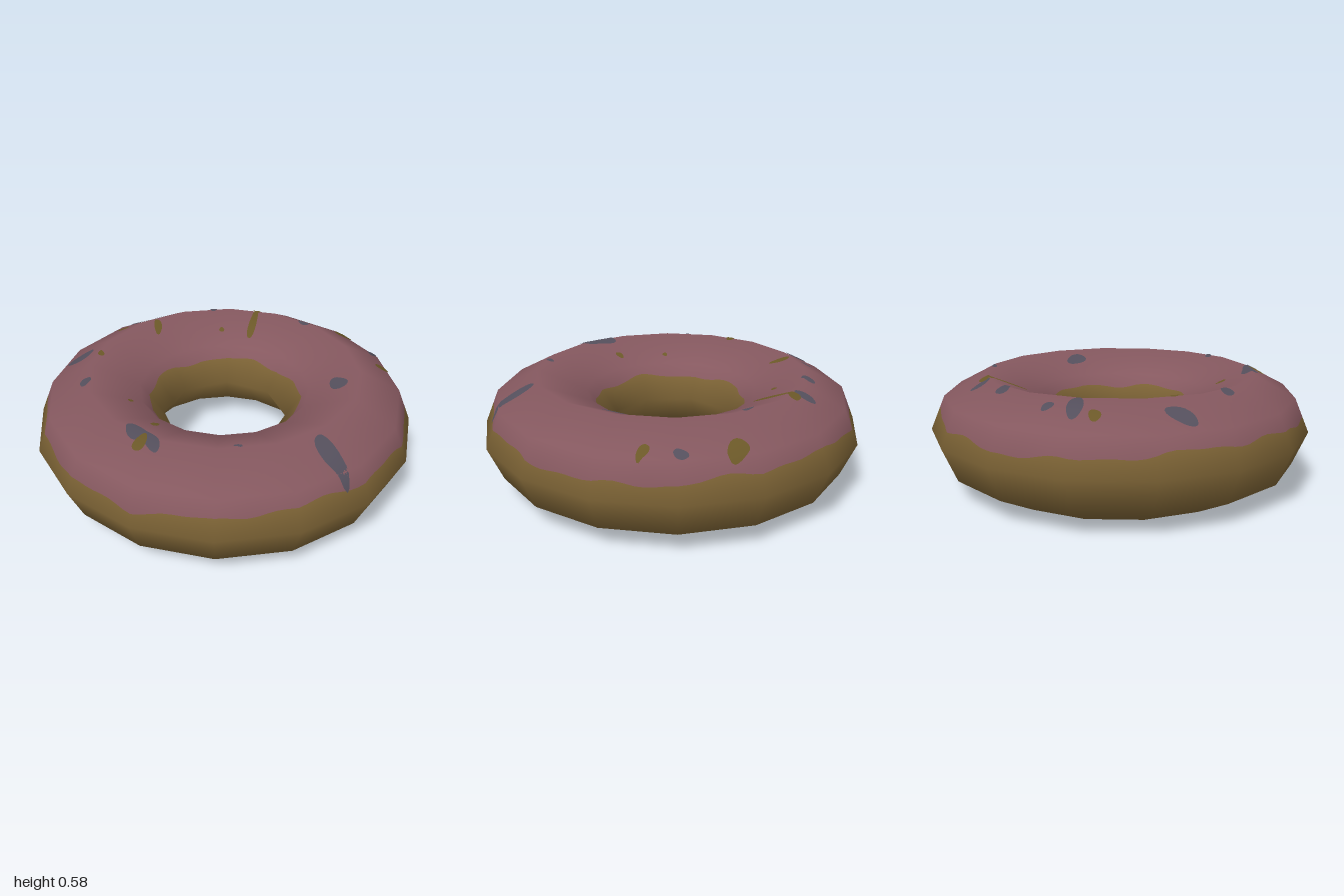
import * as THREE from 'three';

const SIDES = 16, SUB = 8, STEP = (Math.PI * 2) / SIDES;
// Ring cross-section (radius, height): outer rim, over the top, inner rim, underside
const PROFILE = [
  [1, 0.288], [0.925, 0.465], [0.71, 0.577], [0.45, 0.465],
  [0.33, 0.288], [0.45, 0.112], [0.71, 0], [0.925, 0.112],
];

const paint = (name, color) => {
  const m = new THREE.MeshStandardMaterial({ color });
  m.name = name;
  return m;
};

// Corner of the faceted ring and its smooth normal; the inner rim is an octagon
function corner(i, j) {
  const at = (k) => PROFILE[(k + 8) % 8];
  const a = i * STEP, [radius, y] = at(j);
  const r = j % 8 === 4 && i % 2 === 0 ? radius * Math.cos(STEP) : radius;
  const [r0, y0] = at(j - 1), [r1, y1] = at(j + 1);
  const nr = y1 - y0, ny = r0 - r1;
  return {
    p: new THREE.Vector3(r * Math.cos(a), y, r * Math.sin(a)),
    n: new THREE.Vector3(nr * Math.cos(a), ny, nr * Math.sin(a)).normalize(),
  };
}

// Point on the facets, with interpolated normal: u runs around, v along the profile
function surface(u, v) {
  const i = Math.floor(u), j = Math.floor(v), s = u - i, t = v - j;
  const [a, b, c, d] = [corner(i, j), corner(i + 1, j), corner(i, j + 1), corner(i + 1, j + 1)];
  const mix = (k) => a[k].clone().lerp(b[k], s).lerp(c[k].clone().lerp(d[k], s), t);
  return { p: mix('p'), n: mix('n').normalize() };
}

function toGeometry(points, index) {
  const g = new THREE.BufferGeometry();
  g.setAttribute('position', new THREE.Float32BufferAttribute(points.flatMap((q) => q.p.toArray()), 3));
  g.setAttribute('normal', new THREE.Float32BufferAttribute(points.flatMap((q) => q.n.toArray()), 3));
  g.setIndex(index);
  return g;
}

// Band of the ring; rows(angle) lists the profile positions it passes through
function band(rows) {
  const points = [], index = [], count = SIDES * SUB;
  const n = rows(0).length;
  for (let k = 0; k <= count; k++) {
    const u = k / SUB;
    for (const v of rows(u * STEP)) points.push(surface(u, v));
    if (k === count) continue;
    for (let r = 0; r < n - 1; r++) {
      const a = k * n + r, b = a + n;
      index.push(a, a + 1, b, b, a + 1, b + 1);
    }
  }
  return toGeometry(points, index);
}

// Wavy edges of the icing
const outerEdge = (a) => 0.5 + 0.1 * Math.cos(3 * (a - 0.7)) + 0.05 * Math.sin(11 * a) + 0.03 * Math.sin(23 * a);
const innerEdge = (a) => 3.34 + 0.05 * Math.sin(5 * a + 1) + 0.03 * Math.sin(9 * a);

// Find the upper surface above (x, z)
function onTop(x, z) {
  const a = (Math.atan2(z, x) + Math.PI * 2) % (Math.PI * 2);
  const i = Math.floor(a / STEP), f = a - i * STEP;
  const u = i + Math.min(0.9999, Math.sin(f) / (Math.sin(f) + Math.sin(STEP - f)));
  let lo = 0, hi = 3.999;
  for (let k = 0; k < 24; k++) {
    const mid = (lo + hi) / 2, p = surface(u, mid).p;
    if (Math.hypot(p.x, p.z) > Math.hypot(x, z)) lo = mid; else hi = mid;
  }
  const q = surface(u, lo);
  q.p.addScaledVector(q.n, 0.005);
  return q;
}

// Thin oval patch draped over the icing
function patch([x, z, a, b = a, degrees = 0]) {
  const RINGS = 5, N = 20, phi = THREE.MathUtils.degToRad(degrees);
  const points = [], index = [];
  for (let r = 0; r <= RINGS; r++) {
    for (let k = 0; k < N; k++) {
      const th = (k / N) * Math.PI * 2;
      const wob = (r / RINGS) * (1 + 0.08 * Math.sin(3 * th + x * 20));
      const l = a * wob * Math.cos(th), w = b * wob * Math.sin(th);
      points.push(onTop(x + l * Math.cos(phi) - w * Math.sin(phi), z + l * Math.sin(phi) + w * Math.cos(phi)));
      if (r === RINGS) continue;
      const p = r * N + k, q = r * N + ((k + 1) % N);
      index.push(p, q + N, p + N);
      if (r > 0) index.push(p, q, q + N);
    }
  }
  return toGeometry(points, index);
}

// Sprinkles: x, z, half length, half width, turn in degrees
const BLUE = [
  [-0.175, -0.73, 0.052, 0.032, 60], [-0.37, -0.62, 0.036], [0.2, -0.665, 0.035, 0.014, 10],
  [0.62, -0.64, 0.034, 0.025, 60], [0.57, -0.175, 0.065, 0.042, 55], [-0.64, -0.43, 0.03, 0.023, 70],
  [-0.705, -0.315, 0.065, 0.038, 15], [-0.805, 0.145, 0.075, 0.046, -60], [-0.59, 0.415, 0.035, 0.029, 60],
  [-0.13, 0.68, 0.07, 0.042, 30], [-0.04, 0.71, 0.085, 0.03, 35], [0.345, 0.59, 0.022, 0.016],
  [0.725, 0.405, 0.11, 0.046, 28],
];
const OLIVE = [
  [0.41, -0.78, 0.056, 0.042], [0.715, -0.505, 0.04, 0.024, -10], [-0.77, -0.235, 0.034, 0.028],
  [-0.57, -0.3, 0.054, 0.022, 60], [-0.675, 0.14, 0.025, 0.017, 60], [-0.12, 0.53, 0.026, 0.019, 90],
  [-0.11, -0.71, 0.036, 0.03], [-0.095, -0.6, 0.11, 0.022, 80], [-0.25, -0.495, 0.015], [-0.35, 0.38, 0.014],
];

export function createModel() {
  const model = new THREE.Group();
  model.name = 'donut';
  const add = (name, geometry, material, parent = model) => {
    const mesh = new THREE.Mesh(geometry, material);
    mesh.name = name;
    parent.add(mesh);
  };

  // Dough below, icing above, meeting along the wavy edges
  add('dough', band((a) => [innerEdge(a), 4, 5, 6, 7, 8, 8 + outerEdge(a)]), paint('dough brown', 0x7a6134));
  add('icing', band((a) => [outerEdge(a), 1, 2, 3, innerEdge(a)]), paint('icing pink', 0x85585f));

  // Sprinkles
  const sprinkles = new THREE.Group();
  sprinkles.name = 'sprinkles';
  const blue = paint('sprinkle blue grey', 0x544f5c), olive = paint('sprinkle olive', 0x6b5828);
  BLUE.forEach((s) => add('blueSprinkle', patch(s), blue, sprinkles));
  OLIVE.forEach((s) => add('oliveSprinkle', patch(s), olive, sprinkles));
  // Small olive sprinkle lying against the front blue pair
  const front = patch([-0.075, 0.74, 0.042, 0.03, 100]).translate(0, 0.003, 0);
  add('oliveSprinkle', front, olive, sprinkles);
  model.add(sprinkles);
  return model;
}
